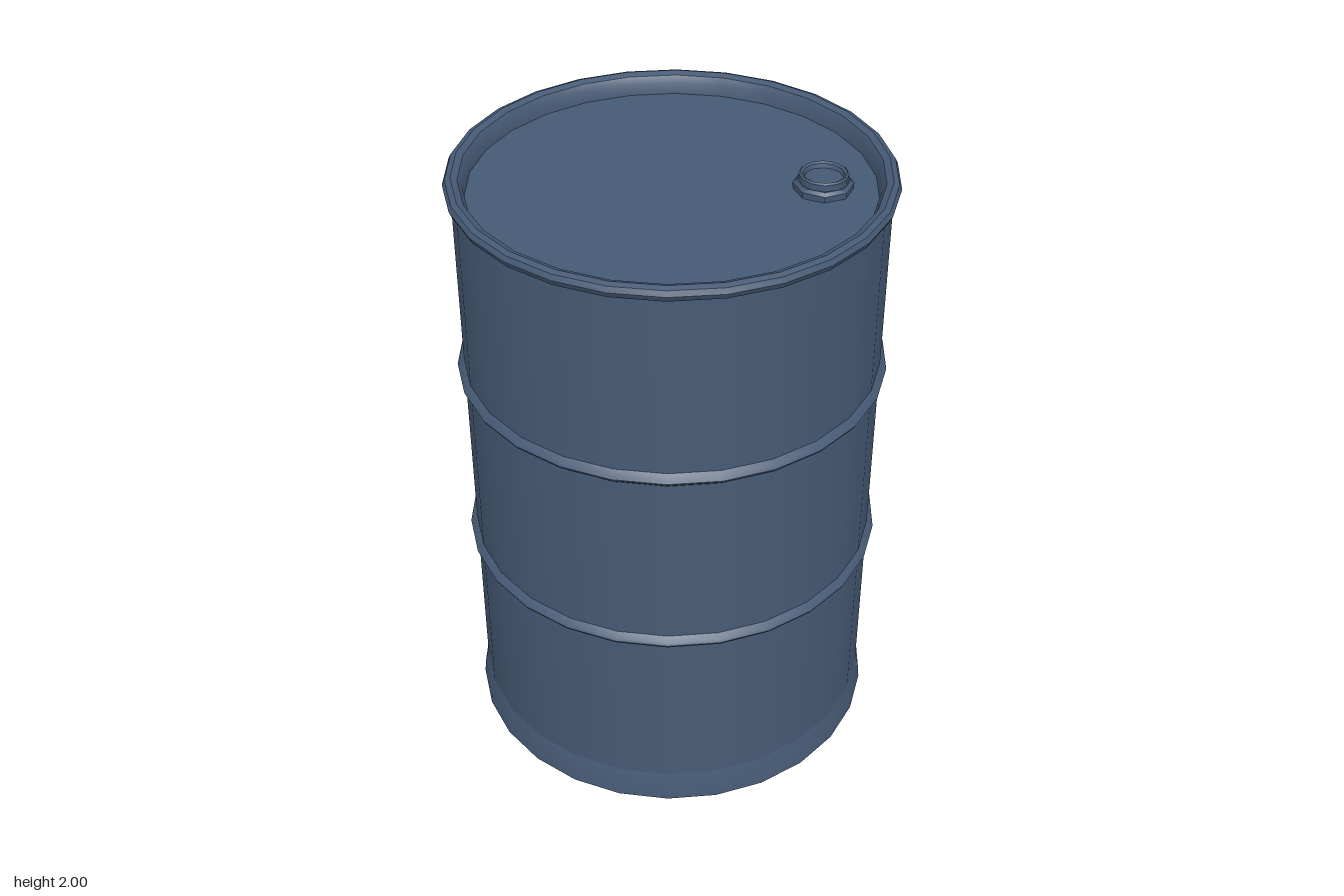
import * as THREE from 'three';
import { toCreasedNormals } from 'three/addons/utils/BufferGeometryUtils.js';

const SIDES = 26;

export function createModel() {
  const model = new THREE.Group();
  model.name = 'drum';
  const paint = new THREE.MeshStandardMaterial({ color: 0x465a75 });
  paint.name = 'bluePaint';

  // Turned part: profile points are [radius, height], outer side listed upward
  const turn = (name, profile, sides = SIDES, x = 0) => {
    const points = profile.map(([r, y]) => new THREE.Vector2(r, y));
    const geometry = toCreasedNormals(new THREE.LatheGeometry(points, sides), 0.6);
    const mesh = new THREE.Mesh(geometry, paint);
    mesh.name = name;
    mesh.position.x = x;
    model.add(mesh);
  };

  // Underside and slightly flared foot
  turn('bottom', [[0, 0.01], [0.65, 0.01], [0.655, 0], [0.675, 0], [0.67, 0.05], [0.658, 0.1]]);

  // Straight wall
  turn('wall', [[0.658, 0.09], [0.658, 1.96]]);

  // Two rolling hoops
  for (const [name, y] of [['lowerHoop', 0.7], ['upperHoop', 1.34]]) {
    turn(name, [[0.656, y - 0.025], [0.675, y - 0.008], [0.679, y], [0.675, y + 0.008], [0.656, y + 0.025]]);
  }

  // Rolled rim running down into the recessed lid
  turn('rim', [[0.656, 1.95], [0.672, 1.96], [0.68, 1.978], [0.672, 1.994], [0.655, 2],
    [0.635, 1.992], [0.622, 1.97], [0.618, 1.935]]);
  turn('lid', [[0.622, 1.935], [0, 1.935]]);

  // Filler cap with a dished top
  turn('capFlange', [[0.09, 1.934], [0.092, 1.955], [0.082, 1.965], [0.07, 1.965]], 8, 0.45);
  turn('capPlug', [[0.076, 1.96], [0.076, 1.985], [0.07, 1.99], [0.062, 1.985], [0.058, 1.972], [0, 1.972]], 12, 0.45);

  return model;
}
